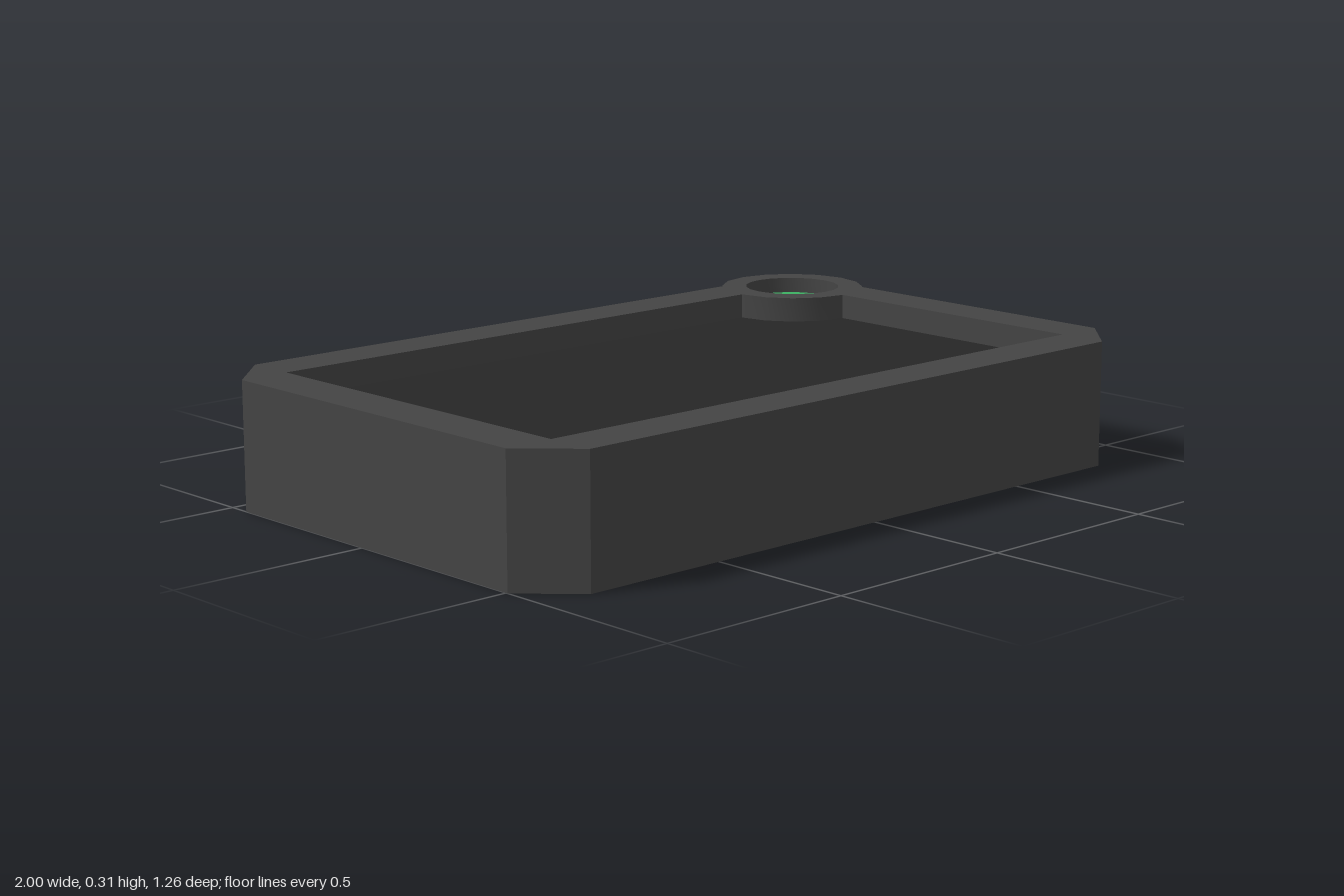
import * as THREE from 'three';
import { toCreasedNormals } from 'three/addons/utils/BufferGeometryUtils.js';

const HEIGHT = 0.315, BASE = 0.2, FLOOR = 0.252, LENS = 0.275;
const CX = 0.81, CY = 0.445, OUTER_R = 0.19, LENS_R = 0.126; // round corner post

// Plan shapes use x and -z; points on the round post are given by angle in degrees.
const onPost = (deg, r = OUTER_R) => {
  const a = THREE.MathUtils.degToRad(deg);
  return new THREE.Vector2(CX + r * Math.cos(a), CY + r * Math.sin(a));
};
const arc = (from, to, step, r) => {
  const points = [];
  for (let i = 0; i <= Math.round((to - from) / step); i++) points.push(onPost(from + i * step, r));
  return points;
};
const points = (list) => list.map(([x, y]) => new THREE.Vector2(x, y));

function slab(name, shape, bottom, top, color) {
  const extruded = new THREE.ExtrudeGeometry(shape, { depth: top - bottom, bevelEnabled: false });
  extruded.rotateX(-Math.PI / 2).translate(0, bottom, 0);
  const mesh = new THREE.Mesh(toCreasedNormals(extruded, 0.5), new THREE.MeshStandardMaterial({ color }));
  mesh.name = name;
  return mesh;
}

export function createModel() {
  const group = new THREE.Group();
  group.name = 'tray';

  // Chamfered rectangle merged with the round post at its back left corner
  const outline = [
    ...points([[-1, 0.445], [-1, -0.505], [-0.875, -0.63], [0.81, -0.63], [0.935, -0.505]]),
    onPost(-48.8), ...arc(-45, 135, 22.5), onPost(138.8),
    ...points([[-0.875, 0.57]]),
  ];
  // Recess with the post biting into its corner
  const recess = [
    ...points([[-0.875, 0.445], [-0.875, -0.505], [0.81, -0.505]]),
    ...arc(180, 270, 22.5).reverse(),
  ];
  const lens = arc(0, 342, 18, LENS_R);

  const rim = new THREE.Shape(outline);
  rim.holes.push(new THREE.Path(recess), new THREE.Path(lens));

  group.add(
    slab('base', new THREE.Shape(outline), 0, BASE, 0x444444),
    slab('rim', rim, BASE, HEIGHT, 0x444444),
    slab('recessedFloor', new THREE.Shape(recess), BASE, FLOOR, 0x262626),
    slab('greenLens', new THREE.Shape(lens), BASE, LENS, 0x3bb062),
  );
  return group;
}
